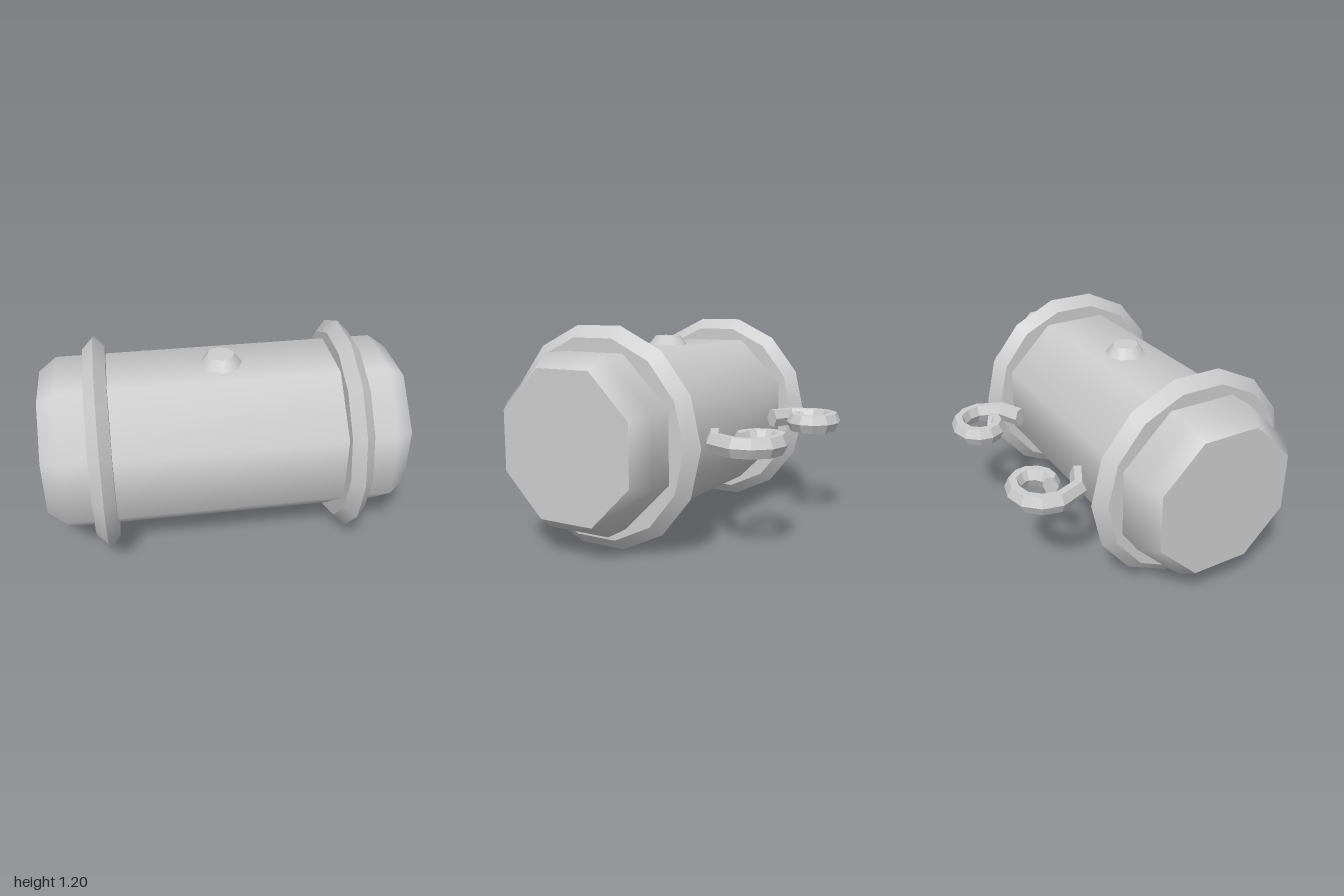
import * as THREE from 'three';

const steel = new THREE.MeshStandardMaterial({ color: 0xcccccc });
steel.name = 'paleGrey';

const CY = 0.604, CZ = 0.165; // barrel axis

// Lathe from [radius, height] points; a repeated point keeps its edge sharp
function lathe(points, sides, start = 0) {
  return new THREE.LatheGeometry(points.map(([r, h]) => new THREE.Vector2(r, h)), sides, start);
}

function add(group, name, geometry, x, y, z) {
  const mesh = new THREE.Mesh(geometry, steel);
  mesh.name = name;
  mesh.position.set(x, y, z);
  group.add(mesh);
  return mesh;
}

// Flat-faced hexagonal bar swept along a horizontal spiral
function curl(side) {
  const path = [
    [0.378, -0.362], [0.515, -0.43], [0.57, -0.57], [0.55, -0.655], [0.49, -0.72],
    [0.40, -0.74], [0.315, -0.718], [0.272, -0.665], [0.264, -0.615], [0.29, -0.56],
    [0.335, -0.527], [0.385, -0.52], [0.415, -0.545],
  ].map(([x, z]) => new THREE.Vector3(x * side, CY, z));
  const section = [[0.045, 0], [0.021, 0.052], [-0.021, 0.052], [-0.045, 0], [-0.021, -0.052], [0.021, -0.052]];
  const n = section.length, last = path.length - 1;
  const pos = [], index = [];
  path.forEach((p, i) => {
    const t = path[Math.min(i + 1, last)].clone().sub(path[Math.max(i - 1, 0)]).normalize();
    for (const [u, v] of section) pos.push(p.x - t.z * u, p.y + v, p.z + t.x * u);
  });
  for (let i = 0; i < last; i++) {
    for (let j = 0; j < n; j++) {
      const a = i * n + j, b = i * n + (j + 1) % n, c = a + n, d = b + n;
      index.push(a, c, b, b, c, d);
    }
  }
  // end caps
  for (let j = 1; j < n - 1; j++) {
    index.push(0, j, j + 1, last * n, last * n + j + 1, last * n + j);
  }
  const g = new THREE.BufferGeometry();
  g.setAttribute('position', new THREE.Float32BufferAttribute(pos, 3));
  g.setIndex(index);
  const flat = g.toNonIndexed();
  flat.computeVertexNormals();
  return flat;
}

export function createModel() {
  const group = new THREE.Group();

  // Octagonal barrel with bevelled ends
  const R = 0.501, E = 0.426;
  const barrel = lathe([[0, -1], [E, -1], [E, -1], [R, -0.9], [R, 0.9], [E, 1], [E, 1], [0, 1]], 8, Math.PI / 8);
  add(group, 'barrel', barrel.rotateZ(-Math.PI / 2), 0, CY, CZ);

  // Ridged hoops near each end
  const r = 0.55, w = 0.061, tip = 0.615;
  const hoop = lathe([[0, -w], [r, -w], [r, -w], [tip, 0], [tip, 0], [r, w], [r, w], [0, w]], 14).rotateZ(-Math.PI / 2);
  add(group, 'leftHoop', hoop, 0.688, CY, CZ);
  add(group, 'rightHoop', hoop, -0.688, CY, CZ);

  // Studs above and below
  const stud = lathe([[0.12, 0], [0.075, 0.057], [0.075, 0.057], [0, 0.057]], 8);
  add(group, 'topStud', stud, 0, 1.065, CZ);
  add(group, 'bottomStud', stud, 0, 0.142, CZ).rotation.x = Math.PI;

  // Curled hooks behind
  add(group, 'leftCurl', curl(1), 0, 0, 0);
  add(group, 'rightCurl', curl(-1), 0, 0, 0);

  return group;
}
